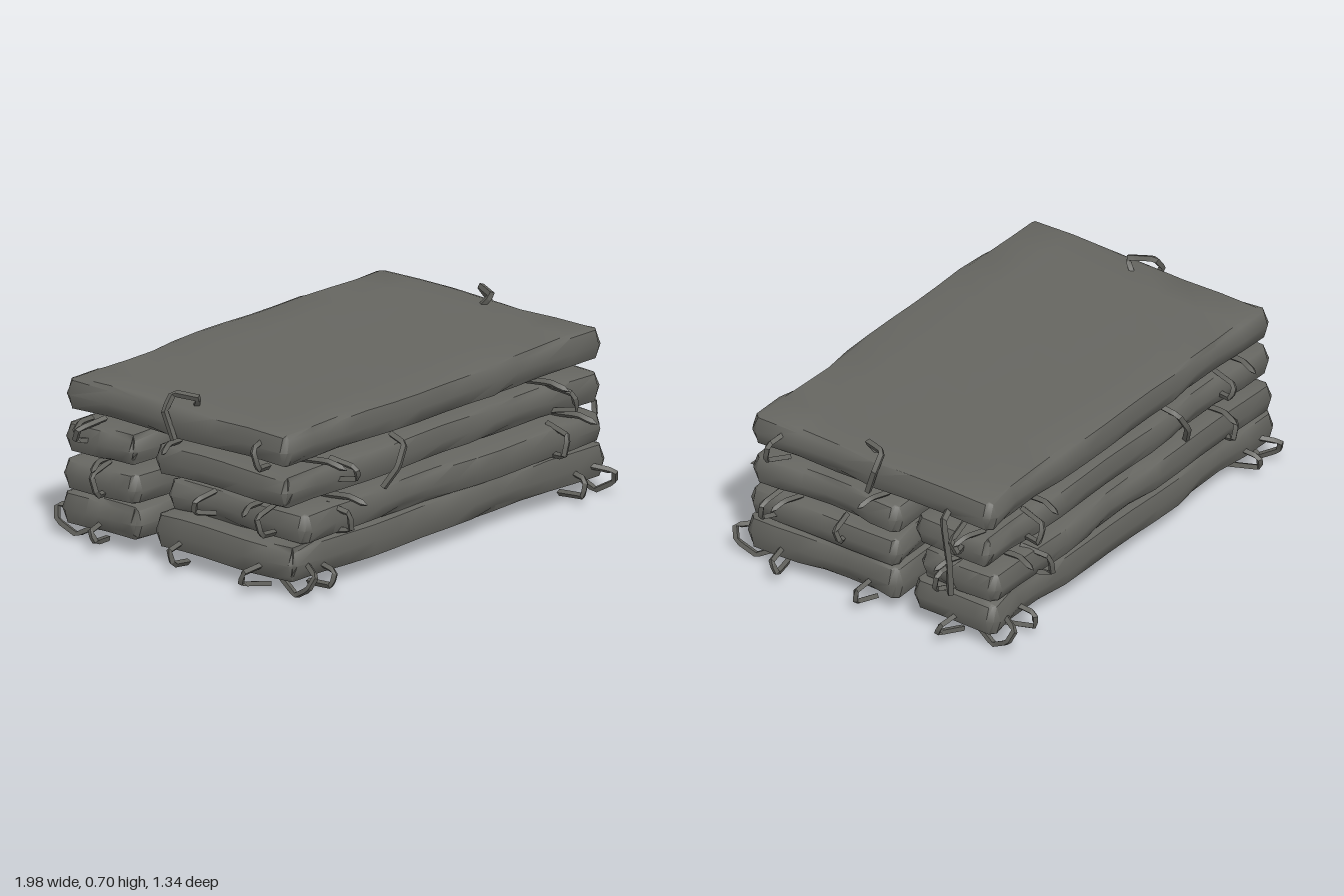
import * as THREE from 'three';
import { mergeVertices, toCreasedNormals } from 'three/addons/utils/BufferGeometryUtils.js';

const concrete = new THREE.MeshStandardMaterial({ color: 0x666661 });
concrete.name = 'grey concrete';
const steel = new THREE.MeshStandardMaterial({ color: 0x62625d, side: THREE.DoubleSide });
steel.name = 'dusty steel';

// Move the grid lines of a box so the outermost cells form a narrow rim
function rim(v, half, segments, width) {
  const cell = (2 * half) / segments, a = Math.abs(v), inner = half - cell;
  const r = a > inner ? half - width + ((a - inner) / cell) * width : (a / inner) * (half - width);
  return Math.sign(v) * r;
}

// Worn slab: rounded rim, wavy edges, clipped corners and an optional sag underneath
function slab(name, x0, x1, y0, y1, z0, z1, seed, sag = 0) {
  const w = x1 - x0, h = y1 - y0, d = z1 - z0, nx = 14, nz = 8;
  let g = new THREE.BoxGeometry(w, h, d, nx, 2, nz);
  g.deleteAttribute('normal');
  g.deleteAttribute('uv');
  g = mergeVertices(g);
  const p = g.attributes.position;
  const cx = (x0 + x1) / 2, cy = (y0 + y1) / 2, cz = (z0 + z1) / 2;
  for (let i = 0; i < p.count; i++) {
    const bx = p.getX(i), by = p.getY(i), bz = p.getZ(i);
    const sideX = Math.abs(bx) > w / 2 - 1e-4, sideZ = Math.abs(bz) > d / 2 - 1e-4;
    const face = Math.abs(by) > 1e-4;
    let x = rim(bx, w / 2, nx, 0.04), y = by, z = rim(bz, d / 2, nz, 0.04);
    const wave = Math.sin(x * 7 + seed * 2.3) * Math.sin(z * 9 + x * 3 + seed);
    const chip = Math.max(0, Math.sin(x * 5.1 + z * 6.3 + seed * 1.7) - 0.55);
    const inset = (face ? 0.018 : 0) + chip * 0.035;
    if (sideX) x -= Math.sign(bx) * (inset + (sideZ ? 0.015 : 0));
    if (sideZ) z -= Math.sign(bz) * (inset + (sideX ? 0.015 : 0));
    if (face) {
      y += wave * 0.006;
      if (sideX || sideZ) y -= Math.sign(by) * (0.006 + chip * 0.04);
    }
    if (by < -1e-4 && sag) {
      const u = Math.max(0, 1 - ((x - 0.03) / 0.62) ** 4);
      const v = Math.max(0, 1 - ((z + cz - 0.14) / 0.34) ** 4);
      y -= sag * u * v;
    }
    p.setXYZ(i, x + cx, y + cy, z + cz);
  }
  const mesh = new THREE.Mesh(toCreasedNormals(g, 0.95), concrete);
  mesh.name = name;
  return mesh;
}

// Faceted bar following a bent line, thinning to a point at its last end if asked
function bar(points, radius = 0.013, pointed = false) {
  const path = new THREE.CurvePath();
  const v = points.map(q => new THREE.Vector3(...q));
  for (let i = 1; i < v.length; i++) path.add(new THREE.LineCurve3(v[i - 1], v[i]));
  const steps = (v.length - 1) * 4;
  const g = new THREE.TubeGeometry(path, steps, radius, 4, false);
  if (pointed) {
    const p = g.attributes.position, tip = v[v.length - 1], c = new THREE.Vector3();
    for (let i = 0; i < p.count; i++) {
      if (i >= steps * 5) c.copy(tip);
      else continue;
      p.setXYZ(i, c.x, c.y, c.z);
    }
  }
  const mesh = new THREE.Mesh(toCreasedNormals(g, 0.5), steel);
  mesh.name = pointed ? 'barSpike' : 'barLoop';
  return mesh;
}

export function createModel() {
  const model = new THREE.Group();
  model.name = 'slabStack';

  // Slabs: one wide on top, then a wide and a narrow one in each layer
  model.add(
    slab('topSlab', -0.92, 0.91, 0.53, 0.655, -0.585, 0.57, 1, 0.05),
    slab('upperFrontSlab', -0.91, 0.91, 0.365, 0.485, -0.14, 0.565, 2, 0.045),
    slab('upperBackSlab', -0.93, 0.91, 0.365, 0.485, -0.58, -0.205, 3),
    slab('lowerFrontSlab', -0.84, 0.90, 0.205, 0.325, -0.135, 0.59, 4),
    slab('lowerBackSlab', -0.92, 0.90, 0.21, 0.33, -0.60, -0.205, 5),
    slab('bottomFrontSlab', -0.91, 0.91, 0.068, 0.205, -0.14, 0.59, 6),
    slab('bottomBackSlab', -0.93, 0.91, 0.07, 0.2, -0.60, -0.195, 7),
  );

  const bars = new THREE.Group();
  bars.name = 'exposedBars';
  model.add(bars);

  // Loops on the ends: along z, start height, end height, reach, skew
  const endLoops = [
    [0.41, 0.62, 0.50, 0.065, 0.04], [-0.42, 0.51, 0.42, 0.08, -0.05],
    [0.14, 0.34, 0.25, 0.05, -0.03], [0.44, 0.35, 0.24, 0.07, 0.03],
    [-0.40, 0.34, 0.22, 0.08, 0.04], [0.42, 0.12, 0.03, 0.085, -0.04],
    [0.0, 0.12, 0.025, 0.07, 0.02], [-0.41, 0.11, 0.03, 0.075, 0.04],
  ];
  for (const s of [-1, 1]) {
    for (const [z, a, b, out, k] of endLoops) {
      bars.add(bar([[s * 0.85, a, z], [s * (0.9 + out), a - 0.02, z + k / 2],
        [s * (0.89 + out), b + 0.02, z + k], [s * 0.85, b, z]]));
    }
    // Arch rising over the top edge
    bars.add(bar([[s * 0.82, 0.64, 0.01], [s * 0.84, 0.69, 0.05], [s * 0.88, 0.70, -0.05],
      [s * 0.93, 0.64, -0.05], [s * 0.92, 0.53, -0.01]], 0.014));
    // Spikes
    for (const [z, y] of [[-0.48, 0.49], [-0.39, 0.35], [-0.03, 0.5], [0.38, 0.34]]) {
      bars.add(bar([[s * 0.84, y, z - 0.02], [s * 0.93, y + 0.01, z], [s * 0.99, y - 0.015, z + 0.02]], 0.013, true));
    }
  }
  // Upright bar joining the layers on one end
  bars.add(bar([[0.88, 0.57, -0.37], [0.94, 0.54, -0.38], [0.93, 0.36, -0.4], [0.92, 0.21, -0.4]], 0.015));

  // Loops on the long sides: along x, start height, end height, reach, skew
  const sideLoops = [
    [-0.62, 0.50, 0.41, 0.06, 0.04], [0.62, 0.49, 0.38, 0.065, 0.05],
    [0.63, 0.33, 0.21, 0.07, -0.04], [-0.64, 0.32, 0.21, 0.05, 0.03],
    [-0.72, 0.12, 0.025, 0.075, -0.03], [0.72, 0.13, 0.025, 0.07, -0.02],
  ];
  for (const s of [-1, 1]) {
    for (const [x, a, b, out, k] of sideLoops) {
      bars.add(bar([[x, a, s * 0.52], [x + k / 2, a - 0.02, s * (0.575 + out)],
        [x + k, b + 0.02, s * (0.57 + out)], [x, b, s * 0.5]]));
    }
    // Slanted bar hanging across the upper slab
    bars.add(bar([[-0.27, 0.51, s * 0.52], [-0.28, 0.49, s * 0.60], [-0.33, 0.41, s * 0.61],
      [-0.37, 0.33, s * 0.57]], 0.014));
    // Spikes
    for (const [x, y] of [[-0.72, 0.51], [0.56, 0.51], [0.72, 0.34], [-0.6, 0.34]]) {
      bars.add(bar([[x, y, s * 0.46], [x + 0.01, y + 0.012, s * 0.59], [x + 0.03, y - 0.012, s * 0.67]], 0.014, true));
    }
    // Low corner hoops reaching the ground
    for (const e of [-1, 1]) {
      bars.add(bar([[e * 0.8, 0.13, s * 0.56], [e * 0.86, 0.11, s * 0.66], [e * 0.88, 0.06, s * 0.64],
        [e * 0.86, 0.014, s * 0.56], [e * 0.84, 0.07, s * 0.46]]));
    }
  }
  return model;
}
